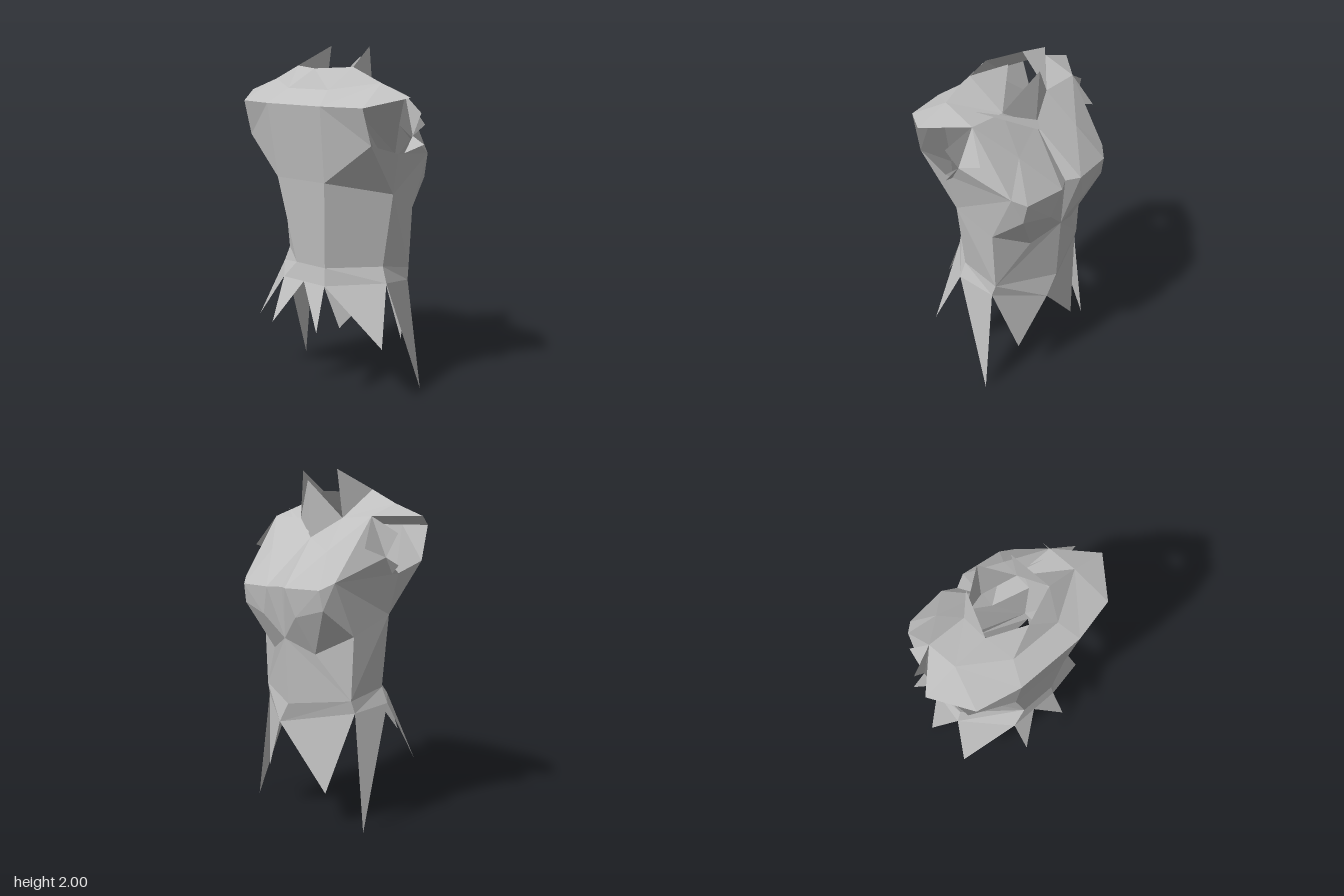
import * as THREE from 'three';

const grey = new THREE.MeshStandardMaterial({ color: 0xc0c0c0, flatShading: true, side: THREE.DoubleSide });
grey.name = 'plain grey';

// Named corners of the garment; paired corners are listed for +x only
const P = {
  // chest and armhole
  chestTop: [0.2, 1.69, 0.385], chestCorner: [0.45, 1.69, 0.33], armFront: [0.46, 1.49, 0.27],
  chestLow: [0.18, 1.27, 0.33], side: [0.43, 1.2, 0.04], armLow: [0.48, 1.43, 0.06], armBack: [0.49, 1.52, -0.05],
  // waist
  waistSide: [0.37, 0.78, 0.05], waistRear: [0.37, 0.73, -0.19], waistBack: [0, 0.68, -0.335],
  // back
  rearSide: [0.39, 1.09, -0.19], spineLow: [0, 1.06, -0.355], hollow: [0.18, 0.98, -0.285],
  lip: [0.14, 1.19, -0.395], lipOut: [0.34, 1.24, -0.37],
  spine: [0, 1.35, -0.375], hump: [0.08, 1.35, -0.42], humpOut: [0.33, 1.35, -0.39], humpSide: [0.39, 1.39, -0.33],
  blade: [0.24, 1.55, -0.25], neckBack: [0, 1.62, -0.16], neckSide: [0.18, 1.73, -0.08], shoulderBack: [0.41, 1.74, -0.08],
  // yoke
  tip: [0.6, 1.74, 0.12], ridge: [0.4, 1.81, 0.115], neckTop: [0.21, 1.89, 0.125],
  neckFront: [0, 1.88, 0.21], yokeMid: [0.15, 1.77, 0.265],
  // notches between the hem points
  notchFront: [0, 0.68, 0.31], notchSide: [0.16, 0.68, 0.31], notchHip: [0.405, 0.69, 0.06],
  notchRear: [0.38, 0.66, -0.17], notchBack: [0.08, 0.56, -0.333],
};
const waistFront = { 1: [0.15, 0.78, 0.295], '-1': [-0.07, 0.78, 0.295] };

// Corner by name, or raw coordinates, on the chosen side
const at = (p, s) => {
  if (p === 'waistFront') return new THREE.Vector3(...waistFront[s]);
  const q = typeof p === 'string' ? P[p] : p;
  const x = p === 'notchBack' ? q[0] : q[0] * s;
  return new THREE.Vector3(x, q[1], q[2]);
};

// Fans each polygon into triangles that face away from the body axis
function panel(name, polygons) {
  const pos = [];
  for (const poly of polygons) {
    for (let i = 1; i < poly.length - 1; i++) {
      let [a, b, c] = [poly[0], poly[i], poly[i + 1]];
      const n = b.clone().sub(a).cross(c.clone().sub(a));
      const out = a.clone().add(b).add(c).divideScalar(3).sub(new THREE.Vector3(0, 1.3, 0));
      out.y *= 0.4;
      if (n.dot(out) < 0) [b, c] = [c, b];
      for (const v of [a, b, c]) pos.push(v.x, v.y, v.z);
    }
  }
  const g = new THREE.BufferGeometry();
  g.setAttribute('position', new THREE.Float32BufferAttribute(pos, 3));
  g.computeVertexNormals();
  const m = new THREE.Mesh(g, grey);
  m.name = name;
  return m;
}

// Same polygons on both sides
const both = (name, list) =>
  panel(name, [1, -1].flatMap(s => list.map(poly => poly.map(p => at(p, s)))));
// A polygon spanning both sides: top pair above bottom pair
const bridge = (top, low) => [at(top, 1), at(top, -1), at(low, -1), at(low, 1)];

export function createModel() {
  const model = new THREE.Group();
  model.name = 'ragged vest';

  model.add(panel('chestCentre', [bridge('chestTop', 'chestLow'), bridge('chestLow', 'waistFront')]));
  model.add(both('chestSides', [['chestTop', 'chestCorner', 'armFront', 'chestLow']]));

  model.add(both('sidePanels', [
    ['armFront', 'armLow', 'side', 'chestLow'],
    ['side', 'waistSide', 'waistFront', 'chestLow'],
    ['side', 'rearSide', 'waistRear', 'waistSide'],
    ['side', 'armLow', 'humpSide', 'rearSide'],
    ['armLow', 'armBack', 'humpSide'],
  ]));

  model.add(both('lowerBack', [
    ['spineLow', 'waistRear', 'waistBack'],
    ['hollow', 'spineLow', 'waistRear'],
    ['hollow', 'waistRear', 'rearSide'],
    ['hollow', 'rearSide', 'lipOut'],
    ['hollow', 'lipOut', 'lip', 'spineLow'],
    ['spineLow', 'spine', 'hump', 'lip'],
    ['lip', 'hump', 'humpOut', 'lipOut'],
    ['lipOut', 'humpOut', 'humpSide'],
    ['lipOut', 'humpSide', 'rearSide'],
  ]));

  model.add(both('upperBack', [
    ['armBack', 'shoulderBack', 'humpSide'],
    ['blade', 'shoulderBack', 'humpSide'],
    ['blade', 'humpSide', 'humpOut'],
    ['blade', 'humpOut', 'hump'],
    ['blade', 'hump', 'neckBack'],
    ['hump', 'spine', 'neckBack'],
    ['blade', 'neckBack', 'neckSide'],
    ['blade', 'neckSide', 'shoulderBack'],
  ]));

  // Yoke over the chest and shoulders
  model.add(both('yoke', [
    ['chestCorner', 'tip', 'ridge'],
    ['chestCorner', 'ridge', 'chestTop'],
    ['chestTop', 'ridge', 'yokeMid'],
    ['yokeMid', 'ridge', 'neckTop'],
    ['yokeMid', 'neckTop', 'neckFront'],
    ['ridge', 'tip', 'shoulderBack'],
    ['ridge', 'shoulderBack', 'neckSide', 'neckTop'],
  ]));
  model.add(panel('yokeCentre', [
    bridge('yokeMid', 'chestTop'),
    [at('neckFront', 1), at('yokeMid', -1), at('yokeMid', 1)],
  ]));

  // Spikes standing around the neck
  model.add(both('neckSpikes', [['neckTop', [0.145, 2, -0.09], 'neckSide']]));
  model.add(both('napeSpike', [['neckSide', [0, 1.94, -0.18], 'neckBack']]));
  model.add(panel('foldedSpike', [[[0, 1.65, -0.17], [0.34, 1.785, -0.035], [0.02, 1.61, -0.21]].map(p => at(p, 1))]));

  // Spikes around the armholes
  model.add(both('shoulderSpikes', [
    ['shoulderBack', [0.56, 1.65, -0.03], 'armBack'],
    ['armBack', [0.575, 1.48, -0.04], [0.48, 1.43, 0.01]],
    ['shoulderBack', [0.47, 1.57, -0.19], 'armBack'],
  ]));

  // Flared hem between waist and notches
  model.add(both('hem', [
    ['waistFront', 'notchFront', 'notchSide'],
    ['waistFront', 'notchSide', 'notchHip', 'waistSide'],
    ['waistSide', 'notchHip', 'notchRear', 'waistRear'],
    ['waistRear', 'notchRear', 'notchBack', 'waistBack'],
  ]));
  model.add(panel('hemCentre', [[at('waistFront', 1), at('waistFront', -1), at('notchFront', 1)]]));

  // Hanging points of the hem
  model.add(both('sidePoints', [
    ['notchSide', [0.49, 0.355, 0.2], 'notchHip'],
    ['notchHip', [0.47, 0, -0.19], 'notchRear'],
  ]));
  const point = (name, a, tip, b, s) => model.add(panel(name, [[at(a, s), new THREE.Vector3(...tip), at(b, s)]]));
  point('frontPointLeft', 'notchFront', [0.18, 0.43, 0.4], 'notchSide', 1);
  point('frontPointRight', 'notchFront', [-0.15, 0.43, 0.42], 'notchSide', -1);
  point('backPointLeft', 'notchRear', [0.26, 0.24, -0.27], 'notchBack', 1);
  point('backPointRight', 'notchRear', [-0.245, 0.19, -0.27], 'notchBack', -1);

  return model;
}
